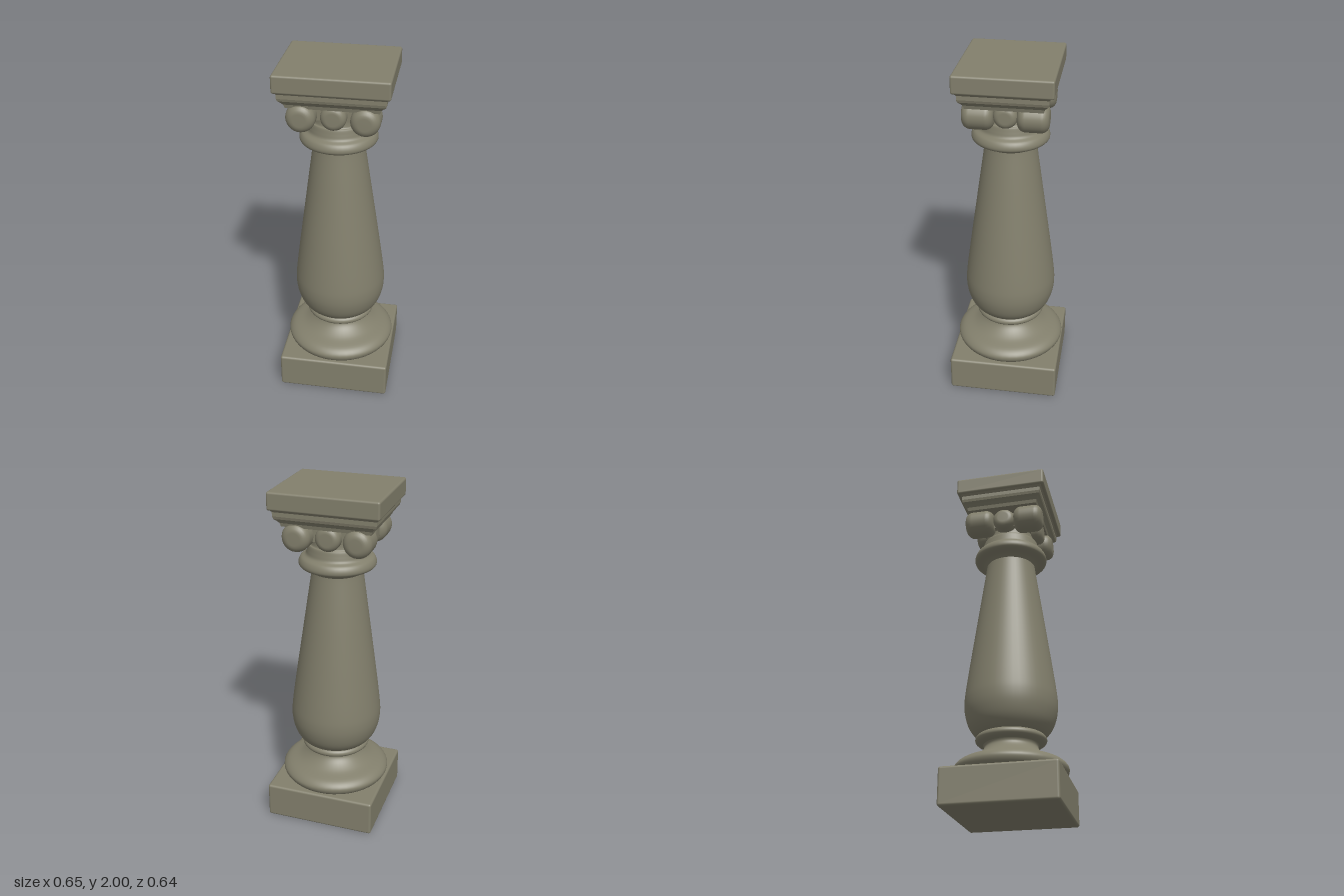
import * as THREE from 'three';
import { RoundedBoxGeometry } from 'three/addons/geometries/RoundedBoxGeometry.js';

const stone = new THREE.MeshStandardMaterial({ color: 0x827f6c });
stone.name = 'weathered stone';

const LEAN = -0.008; // the column drifts slightly sideways with height

function createPart(name, geometry, x = 0, y = 0, z = 0) {
  const mesh = new THREE.Mesh(geometry, stone);
  mesh.name = name;
  mesh.position.set(x, y, z);
  return mesh;
}

// Round turning from [radius, height] points, smoothed by a spline
function turned(points, samples = 40) {
  const curve = new THREE.SplineCurve(points.map(([r, y]) => new THREE.Vector2(r, y)));
  const geometry = new THREE.LatheGeometry(curve.getPoints(samples), 48);
  geometry.applyMatrix4(new THREE.Matrix4().makeShear(0, 0, LEAN, 0, 0, 0));
  const pos = geometry.attributes.position;
  for (let i = 0; i < pos.count; i++) {
    const y = pos.getY(i);
    const angle = Math.floor(i / (samples + 1)) / 48 * Math.PI * 2;
    const r = curve.getPoint((i % (samples + 1)) / samples).x;
    pos.setX(i, Math.sin(angle) * r + LEAN * y);
  }
  return geometry;
}

// Rectangular moulding from [half width, height] points
function squareMoulding(points, depthRatio) {
  const profile = points.map(([w, y]) => new THREE.Vector2(w * Math.SQRT2, y));
  const geometry = new THREE.LatheGeometry(profile, 4).rotateY(Math.PI / 4).toNonIndexed();
  geometry.scale(1, 1, depthRatio);
  geometry.computeVertexNormals();
  return geometry;
}

// Scroll barrel with rounded ends, lying along z
function scroll(radius, length, bevel) {
  const h = length / 2;
  const points = [new THREE.Vector2(0, -h)];
  for (let end = -1; end <= 1; end += 2) {
    for (let i = 0; i <= 6; i++) {
      const a = (end < 0 ? 6 - i : i) / 6 * Math.PI / 2;
      points.push(new THREE.Vector2(radius - bevel + bevel * Math.cos(a), end * (h - bevel + bevel * Math.sin(a))));
    }
  }
  points.push(new THREE.Vector2(0, h));
  return new THREE.LatheGeometry(points, 28).rotateX(Math.PI / 2);
}

export function createModel() {
  const group = new THREE.Group();
  group.name = 'baluster column';

  // Base
  group.add(createPart('plinth', new RoundedBoxGeometry(0.646, 0.21, 0.638, 3, 0.014), 0, 0.105, 0));
  group.add(createPart('baseMoulding', turned([
    [0.27, 0.205], [0.30, 0.215], [0.317, 0.24], [0.315, 0.265], [0.285, 0.292],
    [0.22, 0.315], [0.175, 0.345], [0.152, 0.375], [0.155, 0.395], [0.17, 0.405],
  ])));
  group.add(createPart('baseCollar', turned([
    [0.15, 0.395], [0.185, 0.405], [0.199, 0.42], [0.196, 0.437], [0.18, 0.448], [0.14, 0.452],
  ])));

  // Tapered shaft with a full belly
  group.add(createPart('shaft', turned([
    [0.14, 0.435], [0.19, 0.448], [0.232, 0.495], [0.256, 0.56], [0.264, 0.63], [0.257, 0.72],
    [0.23, 0.92], [0.2, 1.13], [0.17, 1.34], [0.146, 1.51], [0.145, 1.55],
  ], 60)));

  // Ring and neck beneath the capital
  group.add(createPart('neckRing', turned([
    [0.14, 1.515], [0.165, 1.535], [0.208, 1.553], [0.217, 1.575], [0.205, 1.603], [0.178, 1.62],
    [0.17, 1.645], [0.163, 1.675], [0.15, 1.695], [0.15, 1.83],
  ])));

  // Capital
  const capital = new THREE.Group();
  capital.name = 'capital';
  capital.position.set(-0.014, 0, 0);
  for (const sx of [-1, 1]) {
    for (const sz of [-1, 1]) {
      capital.add(createPart('cornerScroll', scroll(0.08, 0.17, 0.045), sx * 0.171, 1.747, sz * 0.147));
    }
    // Central bosses on the front, back and both sides
    capital.add(createPart('faceBoss', scroll(0.07, 0.12, 0.035), 0, 1.75, sx * 0.145));
    const boss = createPart('sideBoss', scroll(0.065, 0.12, 0.035), sx * 0.165, 1.75, 0);
    boss.rotation.y = Math.PI / 2;
    capital.add(boss);
  }
  capital.add(createPart('scrollCore', new THREE.BoxGeometry(0.34, 0.1, 0.28), 0, 1.765, 0));
  capital.add(createPart('abacusMoulding', squareMoulding([
    [0, 1.805], [0.248, 1.805], [0.254, 1.825], [0.268, 1.84], [0.28, 1.85], [0.285, 1.865],
    [0.285, 1.888], [0.295, 1.9], [0.295, 1.915], [0, 1.915],
  ], 0.835)));
  capital.add(createPart('abacus', new RoundedBoxGeometry(0.614, 0.1, 0.53, 3, 0.012), 0, 1.95, 0));
  group.add(capital);

  return group;
}
